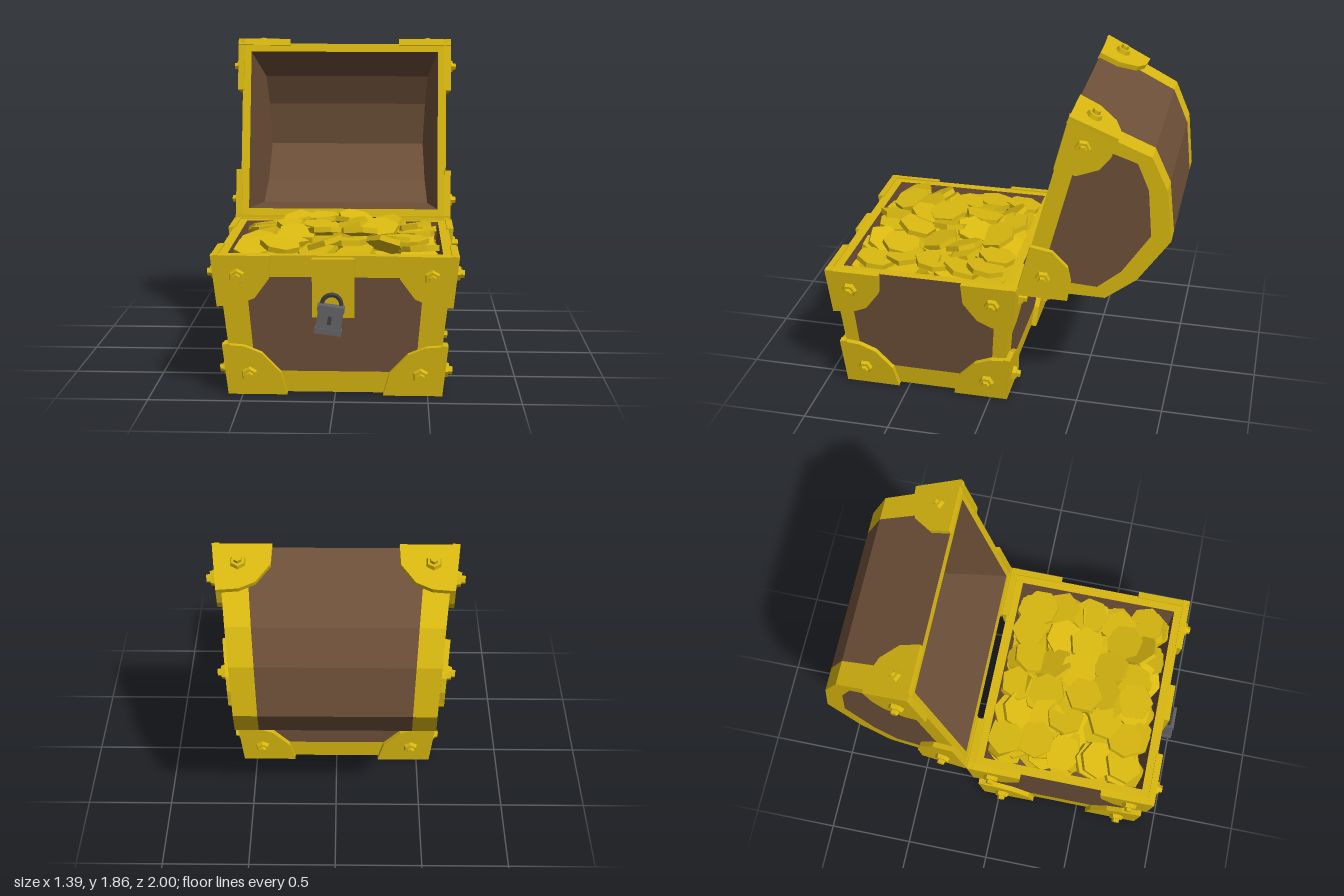
import * as THREE from 'three';
import { mergeGeometries } from 'three/addons/utils/BufferGeometryUtils.js';

const V = (x, y, z) => new THREE.Vector3(x, y, z);

// Collects flat polygons, each turned away from (or towards) a centre point
class Faces {
  constructor() { this.pos = []; }
  add(pts, centre, inward = false) {
    const mid = pts.reduce((s, p) => s.add(p), V(0, 0, 0)).divideScalar(pts.length);
    const n = V(0, 0, 0);
    pts.forEach((p, i) => n.add(p.clone().sub(mid).cross(pts[(i + 1) % pts.length].clone().sub(mid))));
    const out = n.dot(mid.clone().sub(centre)) > 0;
    const q = out !== inward ? pts : [...pts].reverse();
    for (let i = 1; i < q.length - 1; i++)
      for (const p of [q[0], q[i], q[i + 1]]) this.pos.push(p.x, p.y, p.z);
  }
  geometry() {
    const g = new THREE.BufferGeometry();
    g.setAttribute('position', new THREE.Float32BufferAttribute(this.pos, 3));
    g.computeVertexNormals();
    return g;
  }
}

// Wooden quad a,b,c,d (a-b bottom, d-c top) with metal margins given as fractions
function framed(wood, gold, [a, b, c, d], side, bottom, top, centre) {
  const at = (s, t) => a.clone().lerp(b, s).lerp(d.clone().lerp(c, s), t);
  const S = [0, side, 1 - side, 1], T = [0, bottom, 1 - top, 1];
  for (let i = 0; i < 3; i++) for (let j = 0; j < 3; j++) {
    if (S[i + 1] - S[i] < 1e-4 || T[j + 1] - T[j] < 1e-4) continue;
    (i === 1 && j === 1 ? wood : gold).add(
      [at(S[i], T[j]), at(S[i + 1], T[j]), at(S[i + 1], T[j + 1]), at(S[i], T[j + 1])], centre);
  }
}

// Corner plate with a hex bolt on the face spanned by corner->p1 and corner->p2
const PLATE = [[-0.03, -0.006], [0.29, -0.006], [0.27, 0.12], [0.18, 0.23], [0.09, 0.27], [-0.03, 0.28]];
function cornerPlate(plates, bolts, corner, p1, p2, centre) {
  const e1 = p1.clone().sub(corner).normalize(), e2 = p2.clone().sub(corner).normalize();
  const n = e1.clone().cross(e2).normalize();
  if (n.dot(corner.clone().sub(centre)) < 0) n.negate();
  const at = (a, b, d) => corner.clone().addScaledVector(e1, a).addScaledVector(e2, b).addScaledVector(n, d);
  const outer = PLATE.map(([a, b]) => at(a, b, 0.03)), inner = PLATE.map(([a, b]) => at(a, b, -0.01));
  const mid = at(0.1, 0.1, 0.01);
  plates.add(outer, mid);
  plates.add(inner, mid);
  outer.forEach((p, i) => {
    const k = (i + 1) % outer.length;
    plates.add([p, outer[k], inner[k], inner[i]], mid);
  });
  const turn = new THREE.Quaternion().setFromUnitVectors(V(0, 1, 0), n);
  for (const [r, h, d] of [[0.045, 0.024, 0.042], [0.026, 0.05, 0.05]]) {
    const p = at(0.1, 0.11, d);
    bolts.push(new THREE.CylinderGeometry(r * 0.85, r, h, 6).applyQuaternion(turn).translate(p.x, p.y, p.z));
  }
}

export function createModel() {
  const group = new THREE.Group();
  const material = (name, color) => {
    const m = new THREE.MeshStandardMaterial({ color });
    m.name = name;
    return m;
  };
  const goldMat = material('gold', 0xd8b710), woodMat = material('brown wood', 0x6e5039);
  const ironMat = material('grey iron', 0x626266), darkMat = material('dark iron', 0x3e3e42);
  const mesh = (name, geo, mat, parent = group) => {
    const g = geo.index ? geo.toNonIndexed() : geo;
    g.computeVertexNormals();
    const m = new THREE.Mesh(g, mat);
    m.name = name;
    parent.add(m);
    return m;
  };
  const finish = (name, wood, gold, plates, bolts) => {
    const part = new THREE.Group();
    part.name = name;
    mesh(name + 'Wood', wood.geometry(), woodMat, part);
    mesh(name + 'Trim', gold.geometry(), goldMat, part);
    mesh(name + 'CornerPlates', plates.geometry(), goldMat, part);
    mesh(name + 'Bolts', mergeGeometries(bolts), goldMat, part);
    group.add(part);
  };

  // Base: tapered open box
  {
    const wood = new Faces(), gold = new Faces(), plates = new Faces(), bolts = [];
    const ZC = 0.39, H = 0.77, C = V(0, 0.38, ZC);
    const ring = (hx, hz, y) => [[-1, 1], [1, 1], [1, -1], [-1, -1]].map(([i, j]) => V(i * hx, y, ZC + j * hz));
    const bot = ring(0.55, 0.46, 0), top = ring(0.63, 0.53, H);
    const rim = ring(0.575, 0.475, H), floor = ring(0.505, 0.415, 0.06);
    for (let i = 0; i < 4; i++) {
      const k = (i + 1) % 4, p = (i + 3) % 4;
      framed(wood, gold, [bot[i], bot[k], top[k], top[i]], i % 2 ? 0.085 : 0.115, 0.155, i ? 0 : 0.155, C);
      gold.add([top[i], top[k], rim[k], rim[i]], C);
      wood.add([rim[i], rim[k], floor[k], floor[i]], C, true);
      for (const other of [k, p]) {
        cornerPlate(plates, bolts, top[i], top[other], bot[i], C);
        cornerPlate(plates, bolts, bot[i], bot[other], top[i], C);
      }
    }
    wood.add(floor, C, true);
    framed(wood, gold, bot, 0.12, 0.13, 0.13, C);
    finish('base', wood, gold, plates, bolts);
  }

  // Lid: faceted barrel swung open; u runs across the opening, v into the lid
  {
    const wood = new Faces(), gold = new Faces(), plates = new Faces(), bolts = [];
    const L = (x, u, v) => V(x, 0.75 + 0.969 * (u + 0.565) - 0.249 * v, -0.17 - 0.249 * (u + 0.565) - 0.969 * v);
    const mirror = half => [...half.map(([u, v]) => [-u, v]), ...half.slice(0, -1).reverse()];
    const outline = mirror([[0.535, 0], [0.45, 0.472], [0.285, 0.605], [0, 0.712]]);
    const hollow = mirror([[0.485, 0], [0.41, 0.43], [0.25, 0.555], [0, 0.655]]);
    const panel = mirror([[0.435, 0.1], [0.395, 0.41], [0.26, 0.51], [0, 0.6]]);
    const C = L(0, 0, 0.3);
    const end = (pts, s, hx) => pts.map(([u, v]) => L(s * (hx - 0.12 * v), u, v));
    const out = [-1, 1].map(s => end(outline, s, 0.625));
    const inn = [-1, 1].map(s => end(hollow, s, 0.575));
    const N = outline.length;
    for (let i = 0; i < N - 1; i++) {
      framed(wood, gold, [out[0][i], out[1][i], out[1][i + 1], out[0][i + 1]], 0.12, 0, 0, C);
      wood.add([inn[0][i], inn[1][i], inn[1][i + 1], inn[0][i + 1]], C, true);
    }
    [-1, 1].forEach((s, e) => {
      const cap = end(panel, s, 0.625);
      wood.add(cap, C);
      wood.add(inn[e], C, true);
      for (let i = 0; i < N; i++) {
        const k = (i + 1) % N;
        gold.add([out[e][i], out[e][k], cap[k], cap[i]], C);
      }
      gold.add([out[e][0], out[e][N - 1], inn[e][N - 1], inn[e][0]], C);
      for (const [i, nb] of [[0, 1], [N - 1, N - 2]]) {
        cornerPlate(plates, bolts, out[e][i], out[e][N - 1 - i], out[e][nb], C);
        cornerPlate(plates, bolts, out[e][i], out[1 - e][i], out[e][nb], C);
      }
    });
    for (const i of [0, N - 1]) gold.add([out[0][i], out[1][i], inn[1][i], inn[0][i]], C);
    finish('lid', wood, gold, plates, bolts);
  }

  // Heap of coins in tilted layers
  let seed = 11;
  const rnd = () => (seed = (seed * 16807) % 2147483647) / 2147483647;
  const coins = [];
  for (let layer = 0; layer < 4; layer++)
    for (let i = 0; i < 6; i++) for (let j = 0; j < 5; j++) {
      const x = (i - 2.5) * 0.176 + (rnd() - 0.5) * 0.1;
      const z = (j - 2) * 0.178 + (rnd() - 0.5) * 0.1;
      const heap = 0.07 * (1 - Math.min(1, (x * x + z * z) / 0.25));
      const tilt = new THREE.Euler((rnd() - 0.5) * 0.7, rnd() * 6.28, (rnd() - 0.5) * 0.7);
      const m = new THREE.Matrix4().makeRotationFromEuler(tilt);
      m.setPosition(Math.max(-0.45, Math.min(0.45, x)), 0.62 + layer * 0.045 + heap + rnd() * 0.02,
        0.385 + Math.max(-0.37, Math.min(0.37, z)));
      coins.push(new THREE.CylinderGeometry(0.112, 0.112, 0.03, 6 + (i + j) % 2).applyMatrix4(m));
    }
  mesh('coins', mergeGeometries(coins), goldMat);

  // Clasp plate, staple and padlock
  const clasp = mesh('claspPlate', new THREE.BoxGeometry(0.225, 0.325, 0.05), goldMat);
  clasp.position.set(-0.008, 0.598, 0.913);
  clasp.rotation.x = 0.09;
  const staple = mesh('claspStaple', new THREE.TorusGeometry(0.052, 0.014, 5, 8, Math.PI), goldMat);
  staple.position.set(-0.01, 0.6, 0.93);
  staple.rotation.set(0, Math.PI / 2, -Math.PI / 2, 'YXZ');
  const lock = new THREE.Group();
  lock.name = 'padlock';
  lock.position.set(-0.025, 0.435, 0.966);
  lock.rotation.z = -0.13;
  mesh('lockBody', new THREE.BoxGeometry(0.135, 0.155, 0.05), ironMat, lock);
  for (const y of [-0.062, 0.062])
    mesh('lockBand', new THREE.BoxGeometry(0.145, 0.03, 0.066), ironMat, lock).position.y = y;
  mesh('lockKeyhole', new THREE.BoxGeometry(0.02, 0.045, 0.008), darkMat, lock).position.z = 0.026;
  mesh('lockShackle', new THREE.TorusGeometry(0.05, 0.013, 5, 8, Math.PI), darkMat, lock).position.y = 0.085;
  group.add(lock);

  return group;
}
